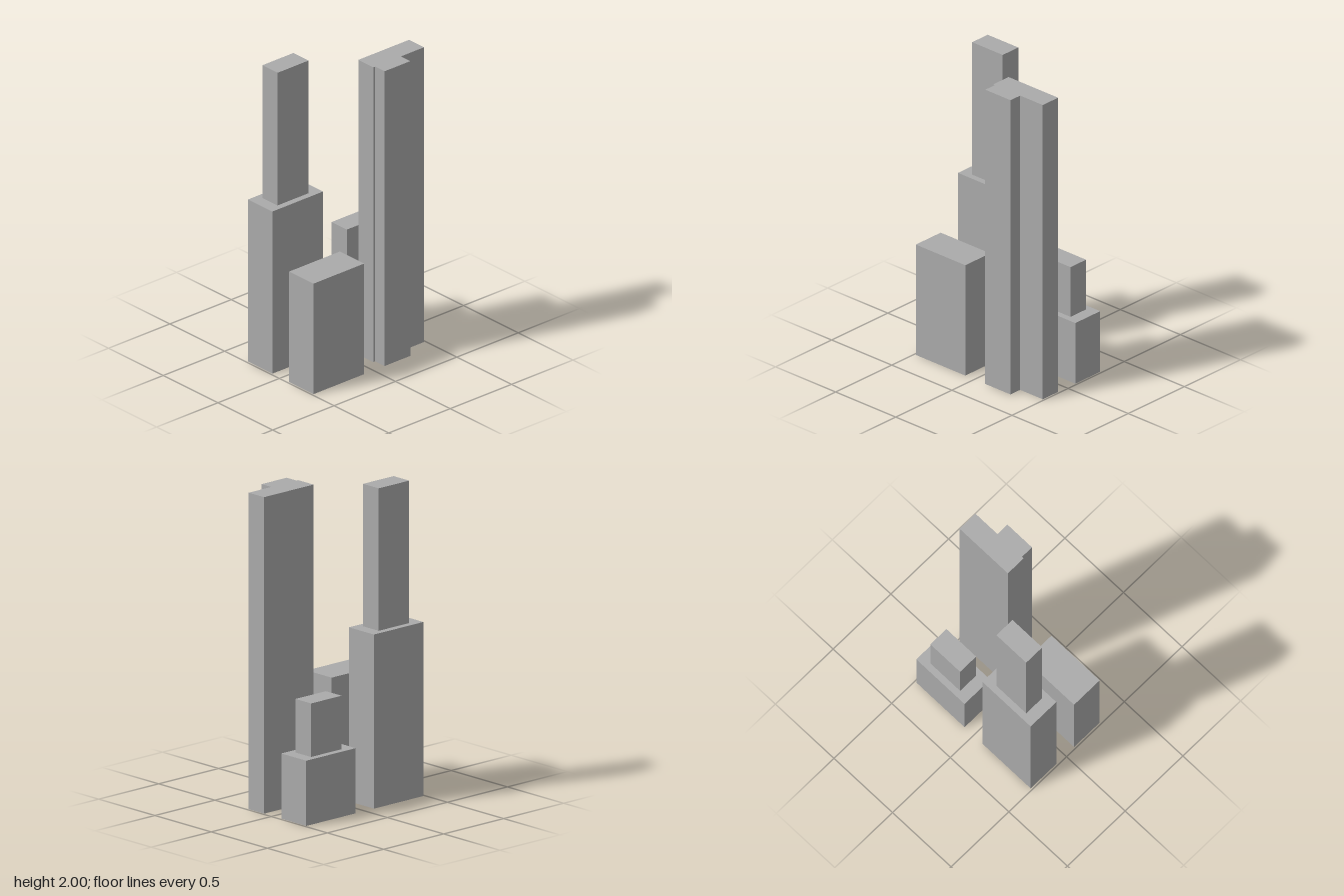
import * as THREE from 'three';

export function createModel() {
  const group = new THREE.Group();
  group.name = 'towerCluster';
  const concrete = new THREE.MeshStandardMaterial({ color: 0xaaaaaa });
  concrete.name = 'concrete grey';

  // Upright block given by centre, footprint and bottom/top heights
  const addBlock = (name, x, z, w, d, y0, y1) => {
    const mesh = new THREE.Mesh(new THREE.BoxGeometry(w, y1 - y0, d), concrete);
    mesh.name = name;
    mesh.position.set(x, (y0 + y1) / 2, z);
    group.add(mesh);
  };

  const X = 0.282, Z = 0.188; // plot centres
  const W = 0.412, D = 0.222; // plot footprint

  // Plain low block, front right plot
  addBlock('lowBlock', -X, Z, W, D, 0, 0.75);

  // Stepped towers on the two rear plots: podium with a slimmer shaft
  for (const [name, side, podiumTop, shaftTop] of [
    ['tallStepped', -1, 1.1, 2],
    ['shortStepped', 1, 0.412, 0.75],
  ]) {
    addBlock(name + 'Podium', side * X, -Z, W, D, 0, podiumTop);
    addBlock(name + 'Shaft', side * X, -Z, 0.254, 0.139, podiumTop, shaftTop);
  }

  // Full-height slab with a projecting front bay, extruded from its plan (x, -z)
  const plan = new THREE.Shape([
    [0.076, -0.076], [0.076, -0.213], [0.09, -0.213], [0.09, -0.299],
    [0.3, -0.299], [0.3, -0.213], [0.488, -0.213], [0.488, -0.076],
  ].map(([x, y]) => new THREE.Vector2(x, y)));
  const slabGeometry = new THREE.ExtrudeGeometry(plan, { depth: 2, bevelEnabled: false });
  slabGeometry.rotateX(-Math.PI / 2);
  const slab = new THREE.Mesh(slabGeometry, concrete);
  slab.name = 'slabTower';
  group.add(slab);

  return group;
}
